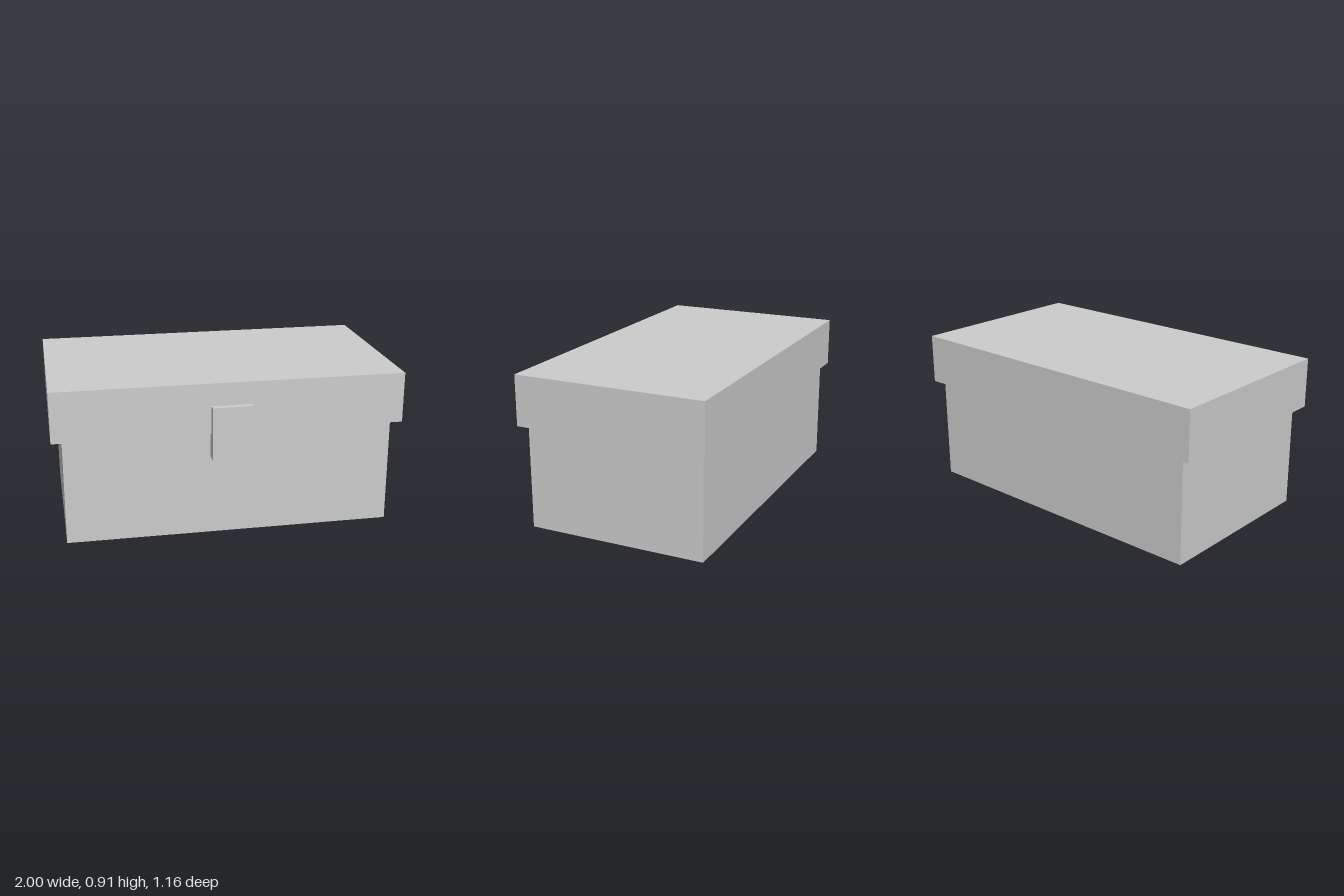
import * as THREE from 'three';

export function createModel() {
  const group = new THREE.Group();
  const material = new THREE.MeshStandardMaterial({ color: 0xcccccc, flatShading: true });

  // Box spanning x = -halfWidth..halfWidth, y = bottom..top, z = back..front
  const addBox = (name, halfWidth, [bottom, top], [back, front]) => {
    const geometry = new THREE.BoxGeometry(halfWidth * 2, top - bottom, front - back);
    const mesh = new THREE.Mesh(geometry, material);
    mesh.name = name;
    mesh.position.set(0, (bottom + top) / 2, (back + front) / 2);
    group.add(mesh);
  };

  // Chest body, overhanging lid, and the latch bridging both at the front
  addBox('body', 0.94, [0, 0.615], [-0.548, 0.508]);
  addBox('lid', 1, [0.615, 0.908], [-0.581, 0.541]);
  addBox('latch', 0.115, [0.47, 0.778], [0.5, 0.581]);

  return group;
}
